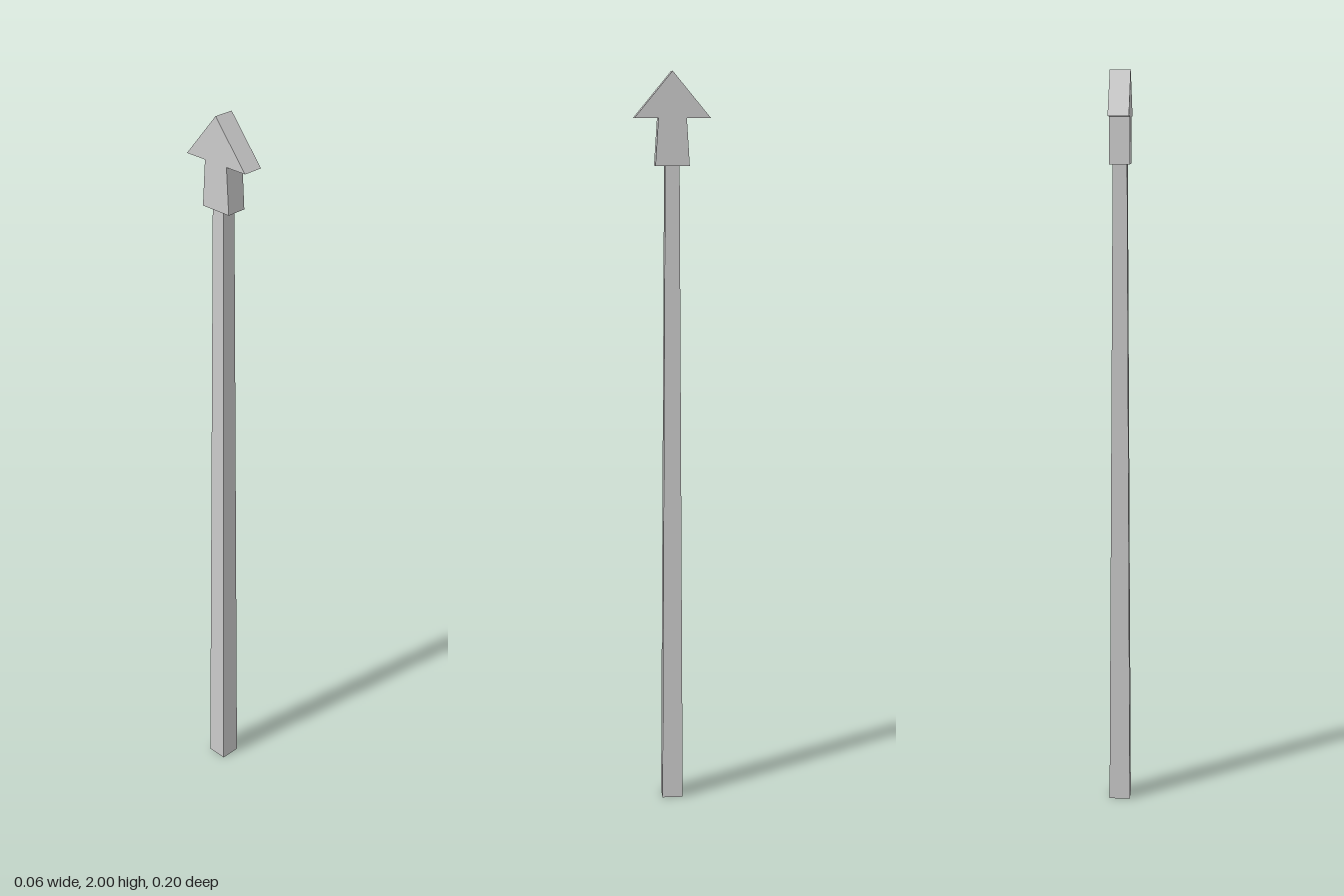
import * as THREE from 'three';

export function createModel() {
  const group = new THREE.Group();
  const material = new THREE.MeshStandardMaterial({ color: 0xcccccc, flatShading: true });

  // Square shaft, tapering towards the head
  const headBase = 1.757;
  const shaftGeometry = new THREE.CylinderGeometry(0.019 * Math.SQRT2, 0.0285 * Math.SQRT2, headBase, 4);
  shaftGeometry.rotateY(Math.PI / 4);
  shaftGeometry.translate(0, headBase / 2, 0);
  const shaft = new THREE.Mesh(shaftGeometry, material);
  shaft.name = 'shaft';
  group.add(shaft);

  // Flat arrow head: half outline mirrored, then extruded across x
  const half = [[0.045, headBase], [0.037, 1.88], [0.1, 1.88]];
  const mirrored = half.map(([z, y]) => [-z, y]).reverse();
  const outline = [...half, [0, 2], ...mirrored].map(([z, y]) => new THREE.Vector2(z, y));
  const thickness = 0.055;
  const headGeometry = new THREE.ExtrudeGeometry(new THREE.Shape(outline), {
    depth: thickness,
    bevelEnabled: false,
  });
  headGeometry.translate(0, 0, -thickness / 2);
  headGeometry.rotateY(Math.PI / 2);
  const head = new THREE.Mesh(headGeometry, material);
  head.name = 'arrowHead';
  group.add(head);

  return group;
}
